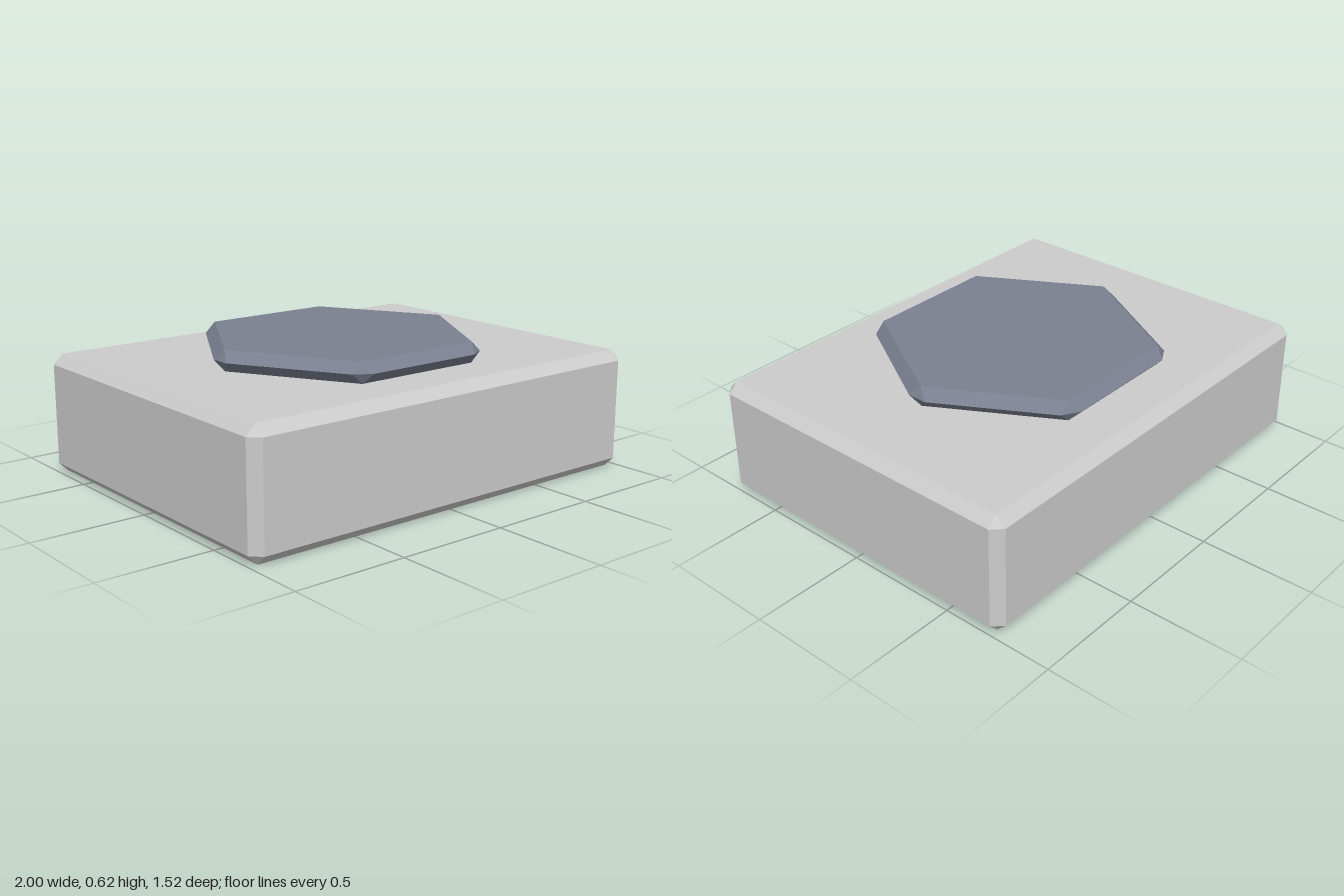
import * as THREE from 'three';
import { ConvexGeometry } from 'three/addons/geometries/ConvexGeometry.js';

const BEVEL = 0.043;

// Box with one flat chamfer on every edge, standing on y = 0
function chamferedBox(w, h, d, c) {
  const points = [];
  for (const sx of [-1, 1]) for (const sy of [-1, 1]) for (const sz of [-1, 1]) {
    for (let axis = 0; axis < 3; axis++) {
      const half = [w / 2 - c, h / 2 - c, d / 2 - c];
      half[axis] += c;
      points.push(new THREE.Vector3(sx * half[0], h / 2 + sy * half[1], sz * half[2]));
    }
  }
  return new ConvexGeometry(points);
}

// Hexagonal plate whose bevels meet at mid height and clip the six corners
function beveledHexagon(radius, height, c) {
  const points = [];
  const inner = radius - c / Math.cos(Math.PI / 6);
  const corner = (i, r) => new THREE.Vector3(
    r * Math.cos(i * Math.PI / 3), 0, r * Math.sin(i * Math.PI / 3));
  for (let i = 0; i < 6; i++) {
    for (const y of [0, height]) points.push(corner(i, inner).setY(y));
    for (const side of [-1, 1]) {
      const p = corner(i, radius).lerp(corner(i + side, radius), 0.05 / radius);
      points.push(p.setY(height / 2));
    }
  }
  return new ConvexGeometry(points);
}

export function createModel() {
  const group = new THREE.Group();
  const lightGrey = new THREE.MeshStandardMaterial({ color: 0xcccccc });
  lightGrey.name = 'light grey';
  const slate = new THREE.MeshStandardMaterial({ color: 0x7a8090 });
  slate.name = 'slate blue grey';

  // Main block
  const base = new THREE.Mesh(chamferedBox(2, 0.53, 1.525, BEVEL), lightGrey);
  base.name = 'base';

  // Raised plate resting on the block
  const plate = new THREE.Mesh(beveledHexagon(0.647, 0.09, BEVEL), slate);
  plate.name = 'hexagonPlate';
  plate.position.y = 0.53;

  group.add(base, plate);
  return group;
}
